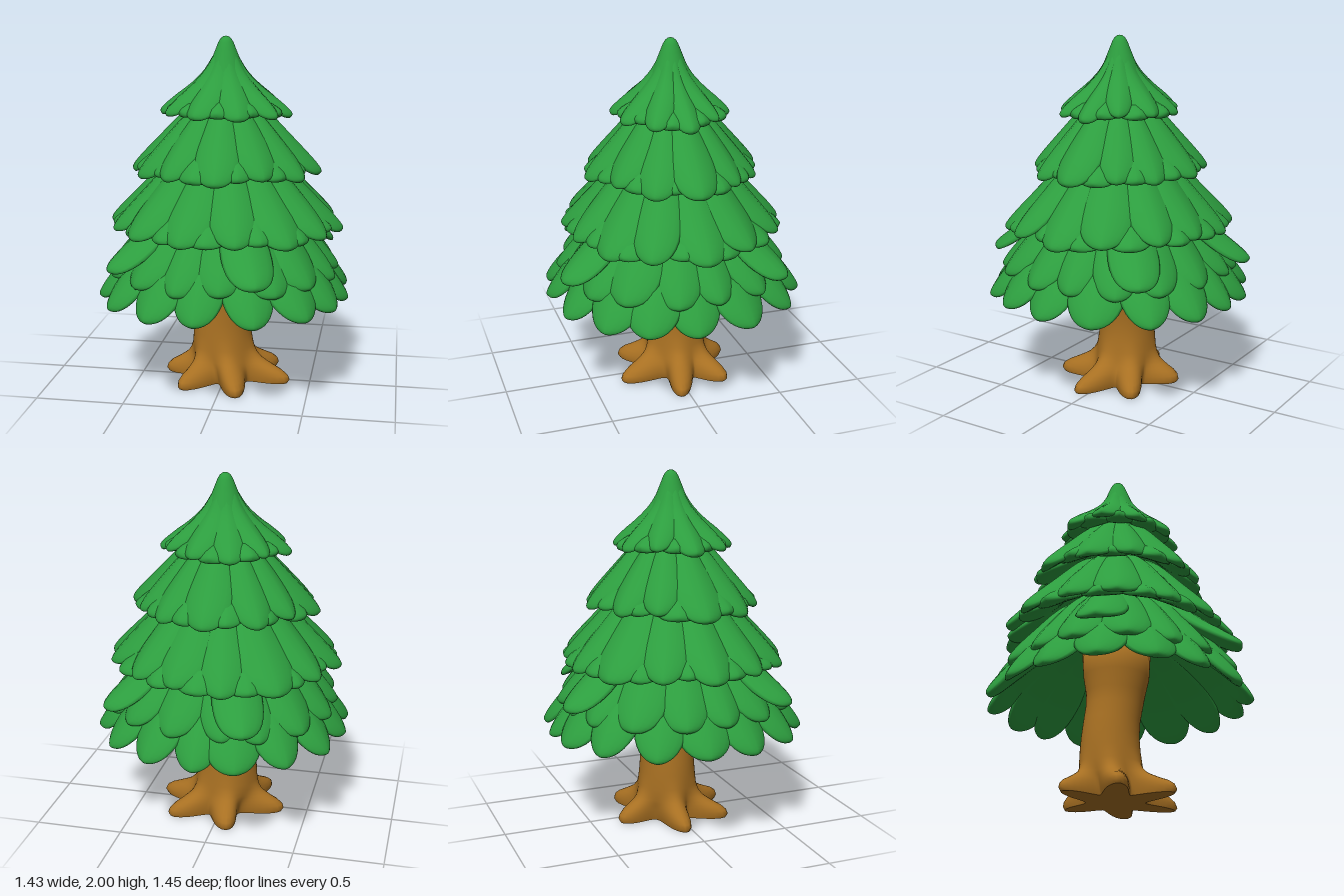
import * as THREE from 'three';
import { mergeGeometries } from 'three/addons/utils/BufferGeometryUtils.js';

// Seeded variation so that the boughs look hand-made
let seed = 7;
const rand = (lo, hi) => {
  seed = (seed * 16807) % 2147483647;
  return lo + (hi - lo) * (seed / 2147483647);
};

// Closed-ring surface: point(row, angle) is called for each ring vertex
function ringSurface(rows, cols, point) {
  const pos = [], idx = [];
  for (let i = 0; i < rows; i++) {
    for (let j = 0; j < cols; j++) {
      pos.push(...point(i, (j / cols) * Math.PI * 2));
      if (i < rows - 1) {
        const k = (j + 1) % cols;
        const a = i * cols + j, b = i * cols + k;
        idx.push(a, b, a + cols, b, b + cols, a + cols);
      }
    }
  }
  const g = new THREE.BufferGeometry();
  g.setAttribute('position', new THREE.Float32BufferAttribute(pos, 3));
  g.setIndex(idx);
  return g;
}

const profileCurve = (pts) => new THREE.SplineCurve(pts.map(([r, y]) => new THREE.Vector2(r, y)));

// One drooping bough: a softly ridged, pointed leaf following an (r, y) curve
function bough(curve, theta, halfAngle, length, drop) {
  const rows = 21, cols = 16;
  const ct = Math.cos(theta), st = Math.sin(theta);
  return ringSurface(rows, cols, (i, phi) => {
    const s = Math.sin((i / (rows - 1)) * Math.PI / 2);
    const p = curve.getPoint(s * length), t = curve.getTangent(s * length);
    const k = Math.max(0, (s - 0.55) / 0.45);
    const tip = Math.max(0, 1 - Math.pow(k, 2.1));
    const spread = Math.tan(halfAngle) * (1.25 - 0.25 * s);
    const w = (0.008 + p.x * spread) * Math.pow(tip, 0.66);
    const thick = Math.min(0.04, 0.008 + p.x * 0.13) * Math.pow(tip, 0.34);
    const c = Math.cos(phi), n = Math.sin(phi);
    const ridge = n > 0 ? 0.7 + 0.35 * (1 - Math.abs(c)) : 1;
    const h = thick * n * ridge - 0.18 * w * c * c;
    const r = p.x - t.y * h;
    const y = p.y + t.x * h - drop * Math.min(1, s * 2);
    return [r * ct + w * c * st, y, r * st - w * c * ct];
  });
}

// Upper and lower rings of boughs; profiles run from the axis to the tips.
// swell lengthens or shortens the diagonal boughs
const TIERS = [
  { name: 'topTier', n: 10, phase: [0, 18], swell: 0.03, shortest: 0.92, zScales: [0.9, 0.94],
    upper: [[0, 1.955], [0.05, 1.9], [0.115, 1.79], [0.215, 1.685], [0.37, 1.575]],
    lower: [[0, 1.87], [0.1, 1.74], [0.2, 1.645], [0.335, 1.59]] },
  { name: 'upperMiddleTier', n: 12, phase: [0, 15], swell: -0.025, shortest: 0.93, zScales: [0.93, 0.97],
    upper: [[0, 1.78], [0.16, 1.62], [0.345, 1.43], [0.535, 1.25]],
    lower: [[0, 1.71], [0.16, 1.55], [0.33, 1.38], [0.505, 1.265]] },
  { name: 'lowerMiddleTier', n: 14, phase: [0, 13], swell: 0.02, shortest: 0.94, zScales: [0.94, 0.98],
    upper: [[0, 1.5], [0.24, 1.34], [0.46, 1.125], [0.665, 0.935]],
    lower: [[0, 1.42], [0.24, 1.26], [0.44, 1.07], [0.635, 0.945]] },
  { name: 'bottomTier', n: 16, phase: [14, 3], swell: 0.05, shortest: 0.97, zScales: [1, 1.015],
    upper: [[0, 1.24], [0.3, 1.06], [0.49, 0.86], [0.645, 0.685]],
    lower: [[0, 1.08], [0.3, 0.94], [0.54, 0.745], [0.71, 0.545]] },
];

function tierGeometry({ n, phase, swell, shortest, upper, lower, zScales }) {
  const leaves = [];
  [upper, lower].forEach((profile, layer) => {
    const curve = profileCurve(profile);
    for (let i = 0; i < n; i++) {
      // Boughs along the x axis keep their full length
      const side = layer === 0 && i % (n / 2) === 0;
      const theta = THREE.MathUtils.degToRad(phase[layer]) + (i / n) * Math.PI * 2 + (side ? 0 : rand(-0.05, 0.05));
      const half = (Math.PI / n) * rand(1.15, 1.4);
      const leaf = bough(curve, theta, half, side ? 1 : rand(shortest, 1), rand(0, 0.015));
      const grow = 1 + swell * Math.sin(2 * theta) ** 2;
      leaves.push(leaf.scale(grow, 1, grow * zScales[layer]));
    }
  });
  const g = mergeGeometries(leaves);
  g.computeVertexNormals();
  return g;
}

// Four broad boughs lifted above the bottom tier
function raisedGeometry() {
  const curve = profileCurve([[0, 1.26], [0.3, 1.1], [0.53, 0.905], [0.745, 0.755]]);
  const g = mergeGeometries([69, 140, 250, 320].map(
    (deg) => bough(curve, THREE.MathUtils.degToRad(deg), 0.23, 1, 0)));
  g.computeVertexNormals();
  return g;
}

// Leaning trunk flaring into six rounded roots: [y, centre x, radius, root reach]
const TRUNK = [
  [0, 0.012, 0, 0], [0, 0.012, 0.16, 0.205], [0, 0.012, 0.16, 0.205],
  [0.02, 0.012, 0.167, 0.212], [0.045, 0.01, 0.172, 0.198], [0.07, 0.006, 0.176, 0.163],
  [0.09, 0.002, 0.178, 0.12], [0.11, -0.004, 0.18, 0.08], [0.13, -0.009, 0.18, 0.047],
  [0.16, -0.015, 0.179, 0.022], [0.2, -0.02, 0.177, 0.006], [0.28, -0.025, 0.17, 0],
  [0.36, -0.024, 0.164, 0], [0.45, -0.014, 0.161, 0], [0.54, 0.004, 0.163, 0],
  [0.62, 0.015, 0.17, 0], [0.72, 0.02, 0.19, 0], [0.86, 0.02, 0.2, 0], [0.86, 0.02, 0, 0],
];
const ROOTS = [10, 75, 130, 186, 255, 315].map(THREE.MathUtils.degToRad);

function trunkGeometry() {
  const g = ringSurface(TRUNK.length, 96, (i, phi) => {
    const [y, cx, radius, reach] = TRUNK[i];
    const theta = -phi;
    let lobe = 0;
    for (const root of ROOTS) {
      const d = Math.atan2(Math.sin(theta - root), Math.cos(theta - root));
      lobe = Math.max(lobe, Math.exp(-d * d / 0.085));
    }
    const r = radius + reach * lobe;
    const cz = -0.035 + 0.13 * reach * lobe;
    return [cx + r * Math.cos(theta), y, cz + r * Math.sin(theta) * 0.94];
  });
  g.computeVertexNormals();
  return g;
}

// Smooth rounded cone where the top boughs meet
const TIP = [[0.13, 1.755], [0.105, 1.81], [0.08, 1.87], [0.058, 1.925], [0.042, 1.965],
  [0.03, 1.985], [0.015, 1.997], [0, 2]];

export function createModel() {
  const green = new THREE.MeshStandardMaterial({ color: 0x2d9e3f });
  green.name = 'needleGreen';
  const brown = new THREE.MeshStandardMaterial({ color: 0xa87022 });
  brown.name = 'barkBrown';

  const tree = new THREE.Group();
  tree.name = 'firTree';
  const add = (name, geometry, material) => {
    const mesh = new THREE.Mesh(geometry, material);
    mesh.name = name;
    tree.add(mesh);
  };

  add('trunkAndRoots', trunkGeometry(), brown);
  for (const tier of TIERS) add(tier.name, tierGeometry(tier), green);
  add('raisedBoughs', raisedGeometry(), green);
  add('treeTip', new THREE.LatheGeometry(TIP.map(([r, y]) => new THREE.Vector2(r, y)), 32), green);
  return tree;
}
